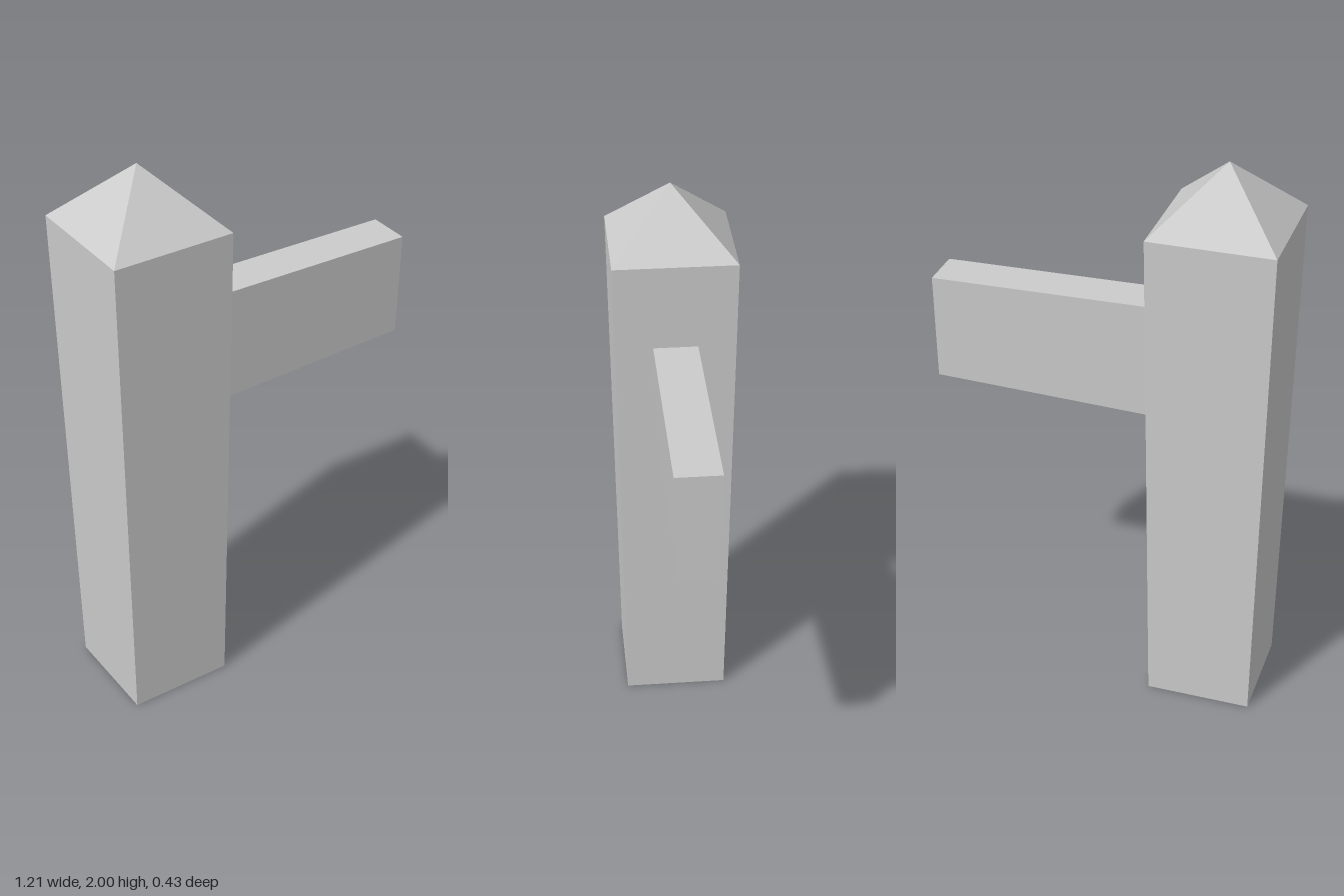
import * as THREE from 'three';

const POST_X = -0.395;
const BOTTOM_HALF = 0.185, TOP_HALF = 0.213;
const POST_TOP = 1.79, PEAK = 2;

const material = new THREE.MeshStandardMaterial({ color: 0xcccccc, flatShading: true });

function part(name, geometry, x = 0, y = 0) {
  const mesh = new THREE.Mesh(geometry, material);
  mesh.name = name;
  mesh.position.set(x, y, 0);
  return mesh;
}

// Four-sided frustum with faces square to the axes, given half widths
function squareFrustum(topHalf, bottomHalf, height) {
  return new THREE.CylinderGeometry(topHalf * Math.SQRT2, bottomHalf * Math.SQRT2, height, 4)
    .rotateY(Math.PI / 4);
}

// Sign board: narrower along its lower edge, and lower in height at the free end
function boardGeometry() {
  const geometry = new THREE.BoxGeometry(1, 1, 1);
  const p = geometry.attributes.position;
  for (let i = 0; i < p.count; i++) {
    const outer = p.getX(i) > 0, upper = p.getY(i) > 0;
    const x = outer ? 0.605 : -0.2;
    const y = upper ? (outer ? 1.477 : 1.489) : (outer ? 1.095 : 1.069);
    const z = Math.sign(p.getZ(i)) * (upper ? 0.077 : 0.063);
    p.setXYZ(i, x, y, z);
  }
  geometry.computeVertexNormals();
  return geometry;
}

export function createModel() {
  const model = new THREE.Group();
  model.name = 'signpost';

  // Post widening slightly towards the top
  model.add(part('post', squareFrustum(TOP_HALF, BOTTOM_HALF, POST_TOP), POST_X, POST_TOP / 2));

  // Pyramid cap
  const capHeight = PEAK - POST_TOP;
  const cap = new THREE.ConeGeometry(TOP_HALF * Math.SQRT2, capHeight, 4, 1, true).rotateY(Math.PI / 4);
  model.add(part('cap', cap, POST_X, POST_TOP + capHeight / 2));

  // Board reaching out to the side
  model.add(part('signBoard', boardGeometry()));

  return model;
}
